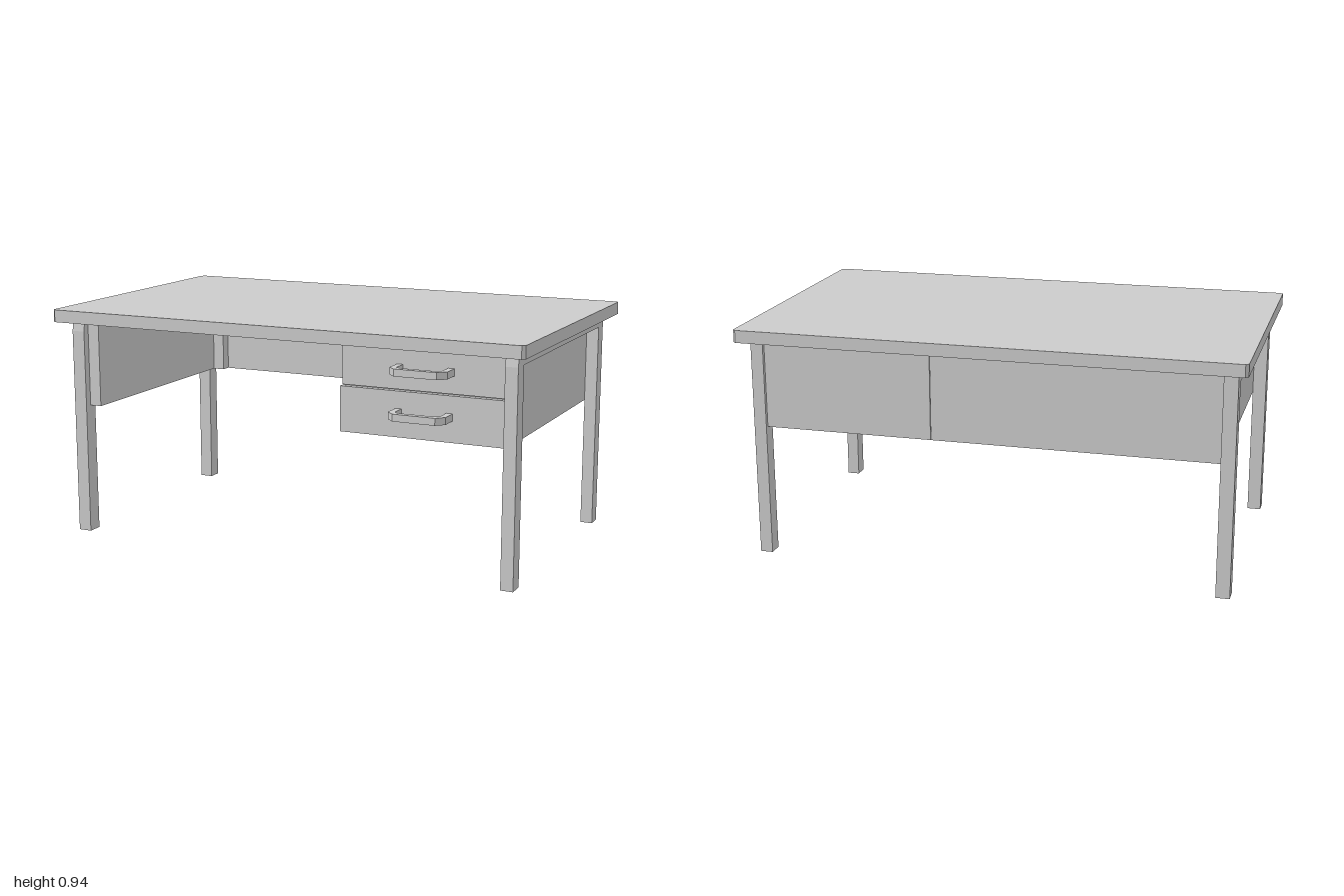
import * as THREE from 'three';

const material = new THREE.MeshStandardMaterial({ color: 0xcccccc, flatShading: true });

function addMesh(parent, name, geometry) {
  const mesh = new THREE.Mesh(geometry, material);
  mesh.name = name;
  parent.add(mesh);
  return mesh;
}

// Box given by its minimum and maximum on each axis
function addBox(parent, name, [x0, x1], [y0, y1], [z0, z1]) {
  const mesh = addMesh(parent, name, new THREE.BoxGeometry(x1 - x0, y1 - y0, z1 - z0));
  mesh.position.set((x0 + x1) / 2, (y0 + y1) / 2, (z0 + z1) / 2);
  return mesh;
}

function extrude(points, depth) {
  const shape = new THREE.Shape(points.map(([x, y]) => new THREE.Vector2(x, y)));
  return new THREE.ExtrudeGeometry(shape, { depth, bevelEnabled: false });
}

// Desk top with slightly cut corners
function addTop(parent) {
  const w = 1, d = 0.6, c = 0.012;
  const outline = [
    [-w + c, -d], [w - c, -d], [w, -d + c], [w, d - c],
    [w - c, d], [-w + c, d], [-w, d - c], [-w, -d + c],
  ];
  const geometry = extrude(outline, 0.05);
  geometry.rotateX(-Math.PI / 2);
  geometry.translate(0, 0.885, 0);
  addMesh(parent, 'desktop', geometry);
}

// Two legs joined by a top rail, drawn in the side plane
function addLegFrame(parent, name, x0, x1) {
  const outline = [
    [-0.545, 0], [-0.485, 0], [-0.485, 0.84], [0.457, 0.84], [0.457, 0],
    [0.52, 0], [0.52, 0.84], [0.512, 0.885], [-0.545, 0.885],
  ];
  const geometry = extrude(outline.map(([z, y]) => [-z, y]).reverse(), x1 - x0);
  geometry.rotateY(Math.PI / 2);
  geometry.translate(x0, 0, 0);
  addMesh(parent, name, geometry);
}

// Bow handle with bevelled corners, drawn in plan
function addHandle(parent, x0, x1, y) {
  const back = 0.46, front = 0.565, t = 0.025, c = 0.03;
  const outline = [
    [x0, back], [x0 + t, back], [x0 + t, front - t - 0.012], [x0 + c + 0.012, front - t],
    [x1 - c - 0.012, front - t], [x1 - t, front - t - 0.012], [x1 - t, back], [x1, back],
    [x1, front - c], [x1 - c, front], [x0 + c, front], [x0, front - c],
  ];
  const geometry = extrude(outline.map(([x, z]) => [x, -z]), 0.028);
  geometry.rotateX(-Math.PI / 2);
  geometry.translate(0, y, 0);
  addMesh(parent, 'drawerHandle', geometry);
}

export function createModel() {
  const desk = new THREE.Group();
  desk.name = 'desk';

  addTop(desk);
  addLegFrame(desk, 'rightLegFrame', 0.9, 0.95);
  addLegFrame(desk, 'leftLegFrame', -0.96, -0.905);

  // Drawer cabinet, reaching to the back
  const cabinet = new THREE.Group();
  cabinet.name = 'drawerCabinet';
  desk.add(cabinet);
  addBox(cabinet, 'cabinetBody', [0.222, 0.9], [0.53, 0.885], [-0.53, 0.441]);
  addBox(cabinet, 'upperDrawerFront', [0.23, 0.9], [0.71, 0.883], [0.44, 0.465]);
  addBox(cabinet, 'lowerDrawerFront', [0.22, 0.9], [0.525, 0.703], [0.44, 0.465]);
  addHandle(cabinet, 0.455, 0.685, 0.778);
  addHandle(cabinet, 0.45, 0.68, 0.608);

  // Panels closing the back and the far side of the knee space
  addBox(desk, 'backPanel', [-0.906, 0.22], [0.53, 0.885], [-0.53, -0.485]);
  addBox(desk, 'sidePanel', [-0.905, -0.855], [0.53, 0.885], [-0.487, 0.49]);
  addBox(desk, 'cornerPost', [-0.855, -0.805], [0.53, 0.885], [-0.487, -0.44]);

  return desk;
}
